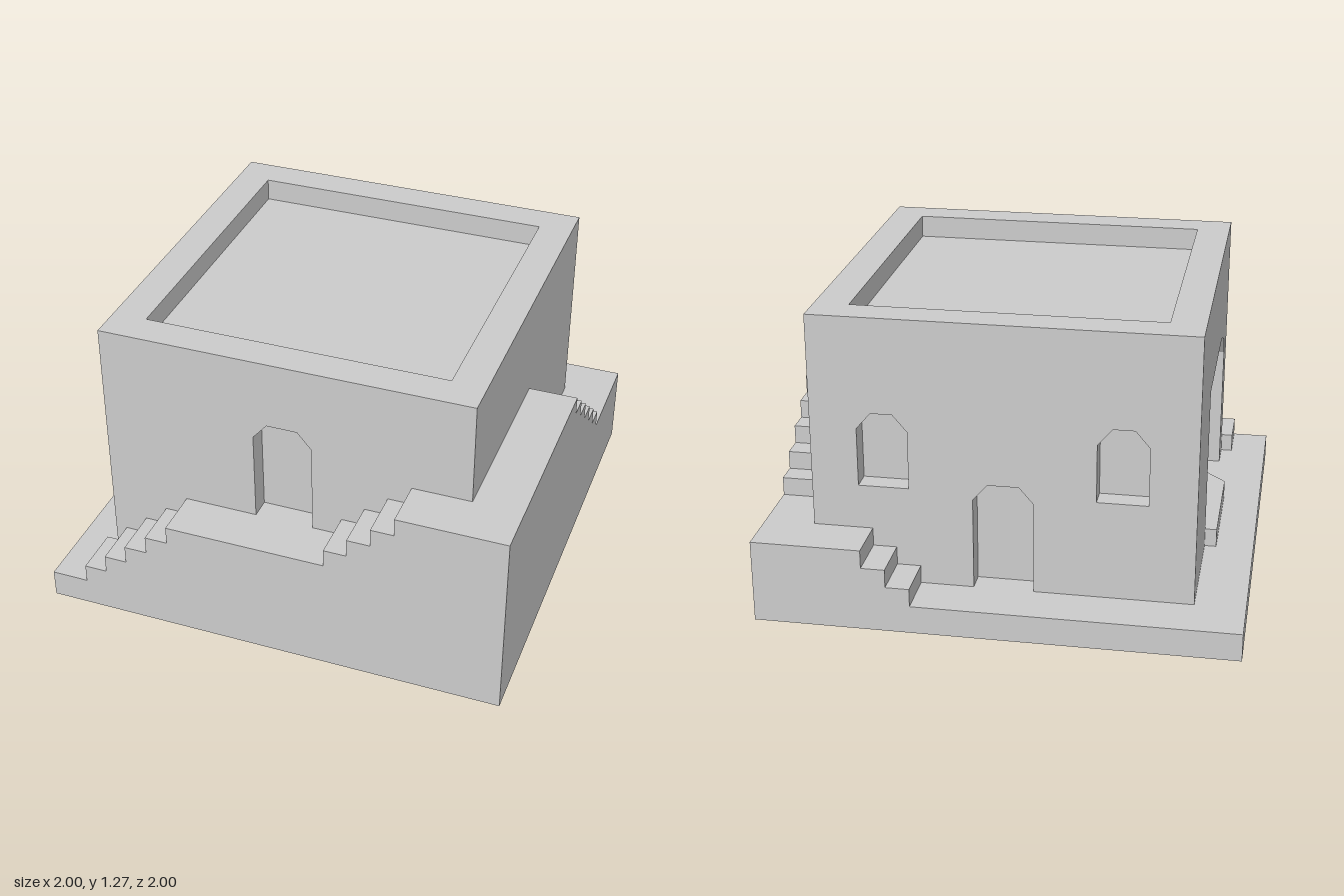
import * as THREE from 'three';

const material = new THREE.MeshStandardMaterial({ color: 0xcccccc, flatShading: true });
const HALF = 0.79;   // half width of the house
const ROOF = 1.175;  // roof floor height
const GROUND = 0.12; // slab height

const points = (list) => list.map(([x, y]) => new THREE.Vector2(x, y));

// Outline with holes, extruded along local +z
function extrude(outline, depth, holes = []) {
  const shape = new THREE.Shape(points(outline));
  holes.forEach((h) => shape.holes.push(new THREE.Path(points(h))));
  return new THREE.ExtrudeGeometry(shape, { depth, bevelEnabled: false });
}

// Opening with a chamfered head
function arch(cx, y, width, height) {
  const w = width / 2, c = 0.06, d = 0.07;
  return [[cx - w, y], [cx + w, y], [cx + w, y + height - d], [cx + w - c, y + height],
    [cx - w + c, y + height], [cx - w, y + height - d]];
}

const rect = (x0, y0, x1, y1) => [[x0, y0], [x1, y0], [x1, y1], [x0, y1]];

// Stair profile: each entry is [start, top]; the last run finishes at end
function stairProfile(runs, end) {
  const outline = [[runs[0][0], GROUND]];
  runs.forEach(([start, top], i) => {
    const next = i + 1 < runs.length ? runs[i + 1][0] : end;
    outline.push([start, top], [next, top]);
  });
  outline.push([end, GROUND]);
  return outline;
}

// A flight of equal steps as [start, top] runs
function flight(count, start, run, top, rise) {
  return Array.from({ length: count }, (_, i) => [start + i * run, top + i * rise]);
}

export function createModel() {
  const model = new THREE.Group();
  model.name = 'terracedHouse';

  const add = (name, geometry, x = 0, y = 0, z = 0) => {
    const mesh = new THREE.Mesh(geometry, material);
    mesh.name = name;
    mesh.position.set(x, y, z);
    model.add(mesh);
  };
  // Profile in (z, y), running from x towards -x
  const addAcross = (name, geometry, x) => add(name, geometry.rotateY(-Math.PI / 2), x);
  // Plan in (x, z), running down from the given height
  const addPlan = (name, geometry, top) => add(name, geometry.rotateX(Math.PI / 2), 0, top);

  // Ground slab and the stepped walkway climbing round the house
  add('groundSlab', new THREE.BoxGeometry(2, GROUND, 2), 0, GROUND / 2, 0);
  const frontRuns = [...flight(5, -0.84, 0.099, 0.2, 0.079), ...flight(4, 0.247, 0.098, 0.594, 0.079)];
  add('frontStairs', extrude(stairProfile(frontRuns, 1), 1 - HALF), 0, 0, HALF);
  const sideRuns = [[-1, 0.355], ...flight(6, -0.54, 0.099, 0.434, 0.079)];
  addAcross('leftSideStairs', extrude(stairProfile(sideRuns, HALF), 1 - HALF), 1);
  const backRuns = flight(3, 0.343, 0.099, 0.198, 0.0785);
  add('backStairs', extrude(stairProfile(backRuns, HALF), 1 - HALF), 0, 0, -1);

  // House core, whose top is the roof floor
  const recess = 0.09, inner = HALF - recess, coreX = -0.55;
  add('houseCore', new THREE.BoxGeometry(HALF - coreX, ROOF - 0.02, inner * 2),
    (HALF + coreX) / 2, (ROOF + 0.02) / 2, 0);

  // Front and back walls with recessed doors and windows
  const wall = rect(-HALF, 0.02, HALF, ROOF);
  add('frontWall', extrude(wall, recess, [arch(-0.005, 0.515, 0.25, 0.465)]), 0, 0, inner);
  add('backWall', extrude(wall, recess, [
    arch(-0.005, GROUND, 0.25, 0.465),
    arch(0.49, 0.545, 0.21, 0.32),
    arch(-0.49, 0.545, 0.21, 0.32),
  ]), 0, 0, -HALF);

  // Porch side: outer wall with a wide opening, inner wall with a raised door
  const sideWall = rect(-inner, 0.02, inner, ROOF);
  const porch = [[-0.25, GROUND], [0.65, GROUND], [0.65, 0.68], [0.59, 0.77], [0.42, 0.835], [-0.25, 0.835]];
  addAcross('porchWall', extrude(sideWall, 0.15, [porch]), -0.64);
  addAcross('porchDoorWall', extrude(sideWall, 0.09, [arch(0, 0.28, 0.26, 0.465)]), coreX);

  // Entrance steps with a slanted end
  [[-0.84, 0.2, 0.45], [-0.74, 0.28, 0.35]].forEach(([x, top, end], i) => {
    const plan = [[x, -0.255], [x, 0.25], [-0.64, end], [-0.64, -0.255]];
    addPlan('entranceStep' + (i + 1), extrude(plan, top - GROUND), top);
  });

  // Parapet ring around the roof
  const r = 0.645;
  addPlan('parapet', extrude(rect(-HALF, -HALF, HALF, HALF), 1.272 - ROOF, [rect(-r, -r, r, r)]), 1.272);

  return model;
}
